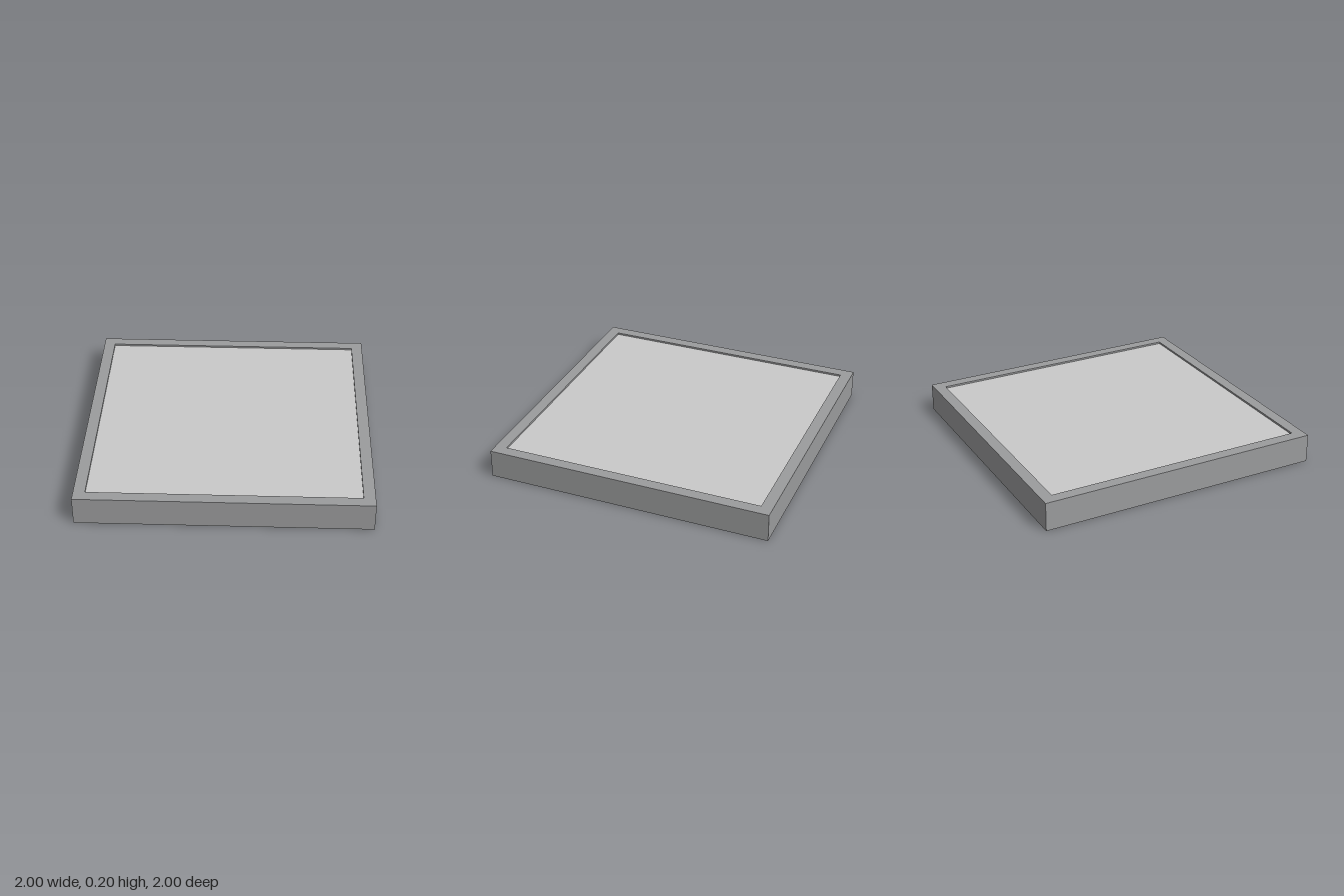
import * as THREE from 'three';

const HEIGHT = 0.2;         // full height of the frame
const INNER = 0.92;         // half width of the opening
const PANEL_BOTTOM = 0.16;
const PANEL_TOP = 0.187;    // slightly below the rim

export function createModel() {
  const model = new THREE.Group();
  model.name = 'framedPanel';

  const frameGrey = new THREE.MeshStandardMaterial({ color: 0x9b9c9d });
  frameGrey.name = 'frame grey';
  const panelGrey = new THREE.MeshStandardMaterial({ color: 0xc9c9c9 });
  panelGrey.name = 'panel light grey';

  const add = (name, geometry, material, y = 0) => {
    const mesh = new THREE.Mesh(geometry, material);
    mesh.name = name;
    mesh.position.y = y;
    model.add(mesh);
  };

  const square = (Type, h) => new Type([
    new THREE.Vector2(-h, -h), new THREE.Vector2(h, -h),
    new THREE.Vector2(h, h), new THREE.Vector2(-h, h),
  ]);

  // Square outer frame, open in the middle
  const outline = square(THREE.Shape, 1);
  outline.holes.push(square(THREE.Path, INNER));
  const frame = new THREE.ExtrudeGeometry(outline, { depth: HEIGHT, bevelEnabled: false });
  frame.rotateX(-Math.PI / 2);
  add('frame', frame, frameGrey);

  // Central support beam running front to back under the panel
  add('supportBeam', new THREE.BoxGeometry(0.08, PANEL_BOTTOM, INNER * 2), frameGrey, PANEL_BOTTOM / 2);

  // Inset top panel
  add('topPanel', new THREE.BoxGeometry(INNER * 2, PANEL_TOP - PANEL_BOTTOM, INNER * 2),
    panelGrey, (PANEL_TOP + PANEL_BOTTOM) / 2);

  return model;
}
